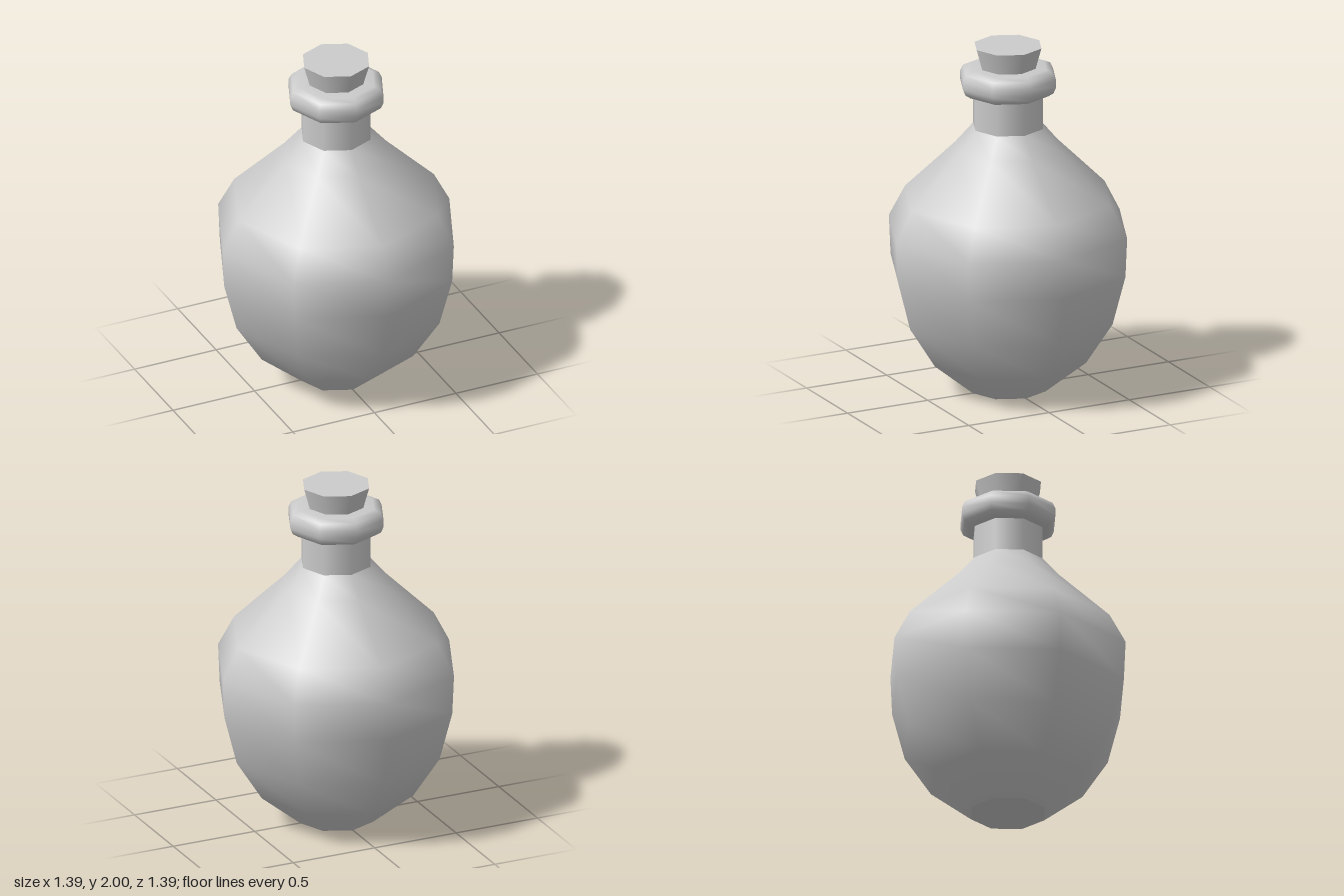
import * as THREE from 'three';

const SIDES = 8;
const material = new THREE.MeshStandardMaterial({ color: 0xcccccc });

// Revolve a bottom-to-top profile of [radius, height] pairs
function turned(name, profile) {
  const points = profile.map(([r, y]) => new THREE.Vector2(r, y));
  const mesh = new THREE.Mesh(new THREE.LatheGeometry(points, SIDES), material);
  mesh.name = name;
  return mesh;
}

export function createModel() {
  const group = new THREE.Group();
  group.name = 'bottle';

  // Flat foot, kept separate for a sharp bottom edge
  group.add(turned('base', [[0, 0], [0.22, 0]]));

  // Bulbous body
  group.add(turned('body', [
    [0.22, 0], [0.455, 0.19], [0.61, 0.43], [0.685, 0.715],
    [0.695, 0.94], [0.6, 1.12], [0.305, 1.41], [0.203, 1.53],
  ]));

  // Straight neck
  group.add(turned('neck', [[0.203, 1.53], [0.203, 1.73]]));

  // Rounded lip, closing in around the stopper
  group.add(turned('lip', [
    [0.2, 1.72], [0.235, 1.725], [0.265, 1.745], [0.28, 1.78],
    [0.28, 1.825], [0.263, 1.86], [0.225, 1.878], [0.15, 1.878],
  ]));

  // Tapered stopper
  const stopper = new THREE.Mesh(new THREE.CylinderGeometry(0.195, 0.153, 0.15, SIDES), material);
  stopper.name = 'stopper';
  stopper.position.y = 1.925;
  group.add(stopper);

  return group;
}
